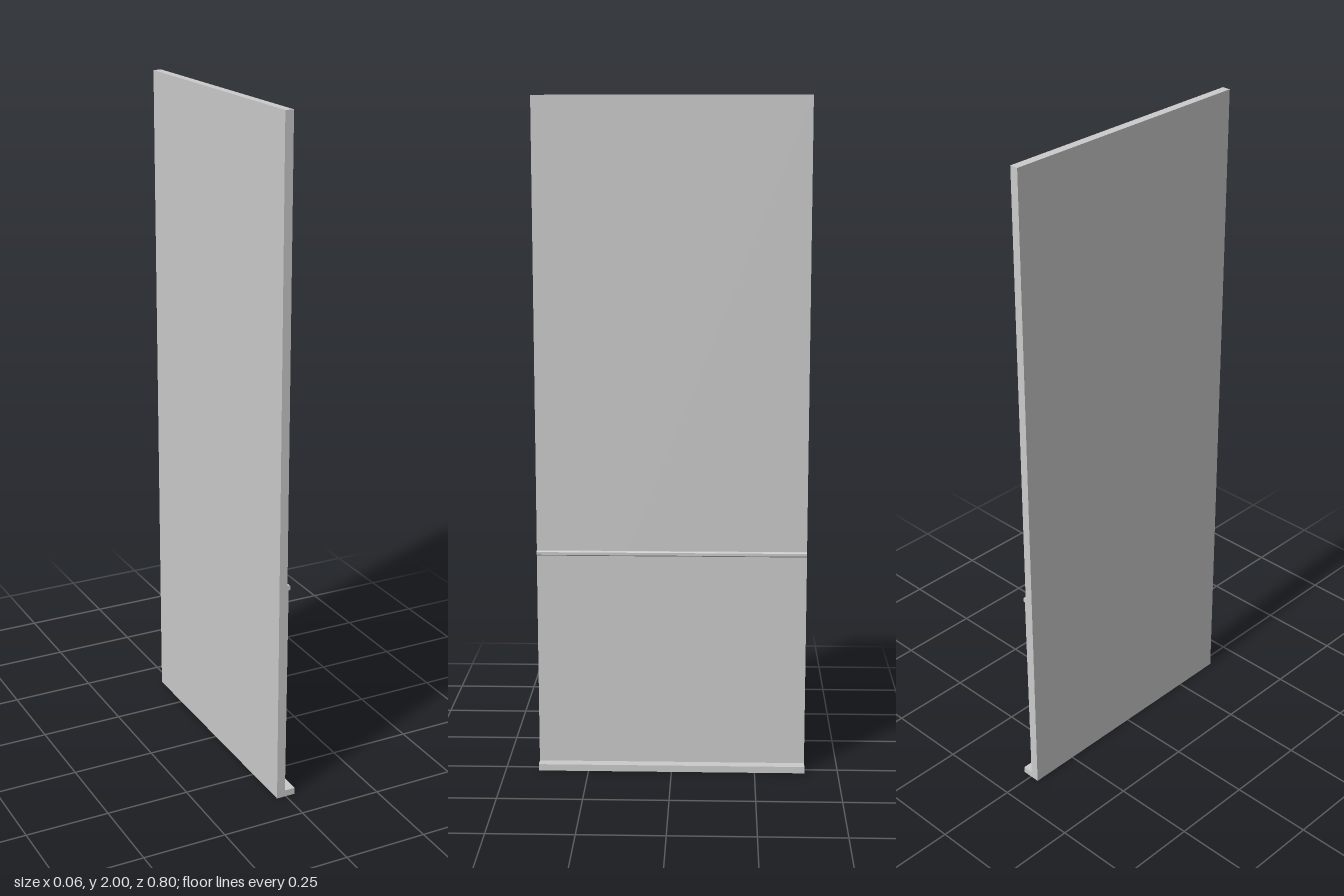
import * as THREE from 'three';

const DEPTH = 0.8;

// Extrudes an x-y profile along z, centred on z = 0.
function strip(name, points, material) {
  const shape = new THREE.Shape(points.map(([x, y]) => new THREE.Vector2(x, y)));
  const geometry = new THREE.ExtrudeGeometry(shape, { depth: DEPTH, bevelEnabled: false });
  geometry.translate(0, 0, -DEPTH / 2);
  const mesh = new THREE.Mesh(geometry, material);
  mesh.name = name;
  return mesh;
}

export function createModel() {
  const group = new THREE.Group();
  group.name = 'wallPanel';
  const material = new THREE.MeshStandardMaterial({ color: 0xcccccc, flatShading: true });

  // Tall backing board
  group.add(strip('backingBoard', [[-0.029, 0], [-0.004, 0], [-0.004, 2], [-0.029, 2]], material));

  // Thin lower facing, slightly thicker towards the rail
  group.add(strip('lowerFacing', [[-0.004, 0.02], [-0.003, 0.02], [0, 0.668], [-0.004, 0.668]], material));

  // Narrow rail capping the facing
  group.add(strip('rail', [[-0.004, 0.662], [0.004, 0.662], [0.006, 0.665], [0.006, 0.673], [0.004, 0.676], [-0.004, 0.676]], material));

  // Projecting ledge along the floor
  group.add(strip('floorLedge', [[-0.004, 0], [0.029, 0], [0.029, 0.02], [-0.004, 0.02]], material));

  return group;
}
